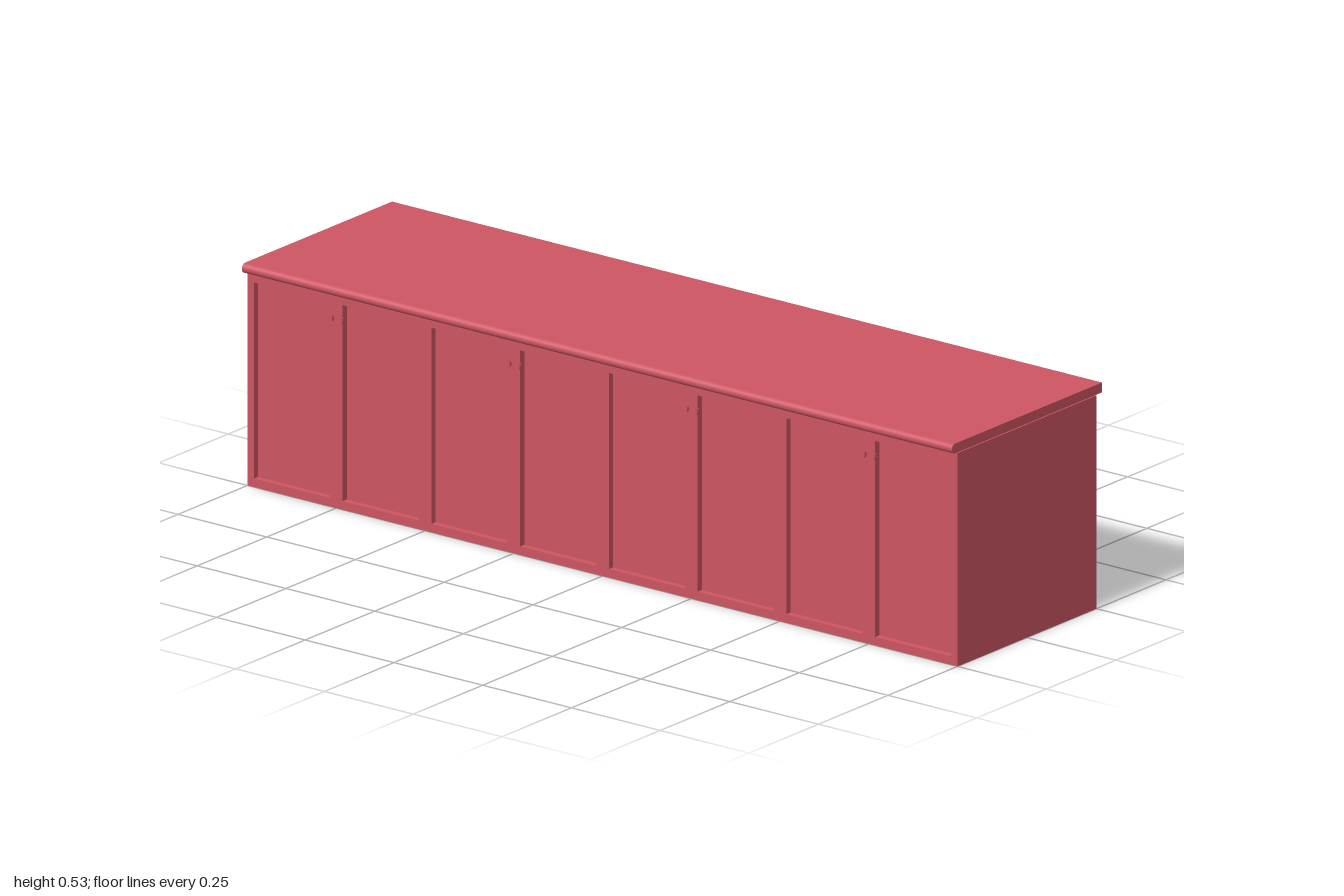
import * as THREE from 'three';

export function createModel() {
  const group = new THREE.Group();
  const material = new THREE.MeshStandardMaterial({ color: 0xcc5562, flatShading: true });
  const add = (name, geometry, x = 0, y = 0, z = 0) => {
    const mesh = new THREE.Mesh(geometry, material);
    mesh.name = name;
    mesh.position.set(x, y, z);
    group.add(mesh);
    return mesh;
  };

  const doors = 8, pitch = 2 / doors, recess = 0.015, stile = 0.018;

  // Cabinet body behind the recessed door panels
  add('cabinetBody', new THREE.BoxGeometry(0.5 - recess, 0.5, 2), recess / 2, 0.25, 0);

  // Door fronts: one face with an opening for each panel
  const face = new THREE.Shape([[-1, 0], [1, 0], [1, 0.5], [-1, 0.5]].map(p => new THREE.Vector2(...p)));
  for (let i = 0; i < doors; i++) {
    const a = -1 + i * pitch + stile, b = -1 + (i + 1) * pitch - stile;
    face.holes.push(new THREE.Path(
      [[a, 0.02], [a, 0.48], [b, 0.48], [b, 0.02]].map(p => new THREE.Vector2(...p))));
  }
  const frames = new THREE.ExtrudeGeometry(face, { depth: recess, bevelEnabled: false });
  frames.rotateY(-Math.PI / 2);
  add('doorFrames', frames, -0.25 + recess);

  // Worktop: square at the rear edge, rounded over the doors
  const r = 0.0115, top = new THREE.Shape();
  top.moveTo(0.27, 0.502);
  top.lineTo(0.27, 0.525);
  top.lineTo(-0.27 + r, 0.525);
  top.absarc(-0.27 + r, 0.5135, r, Math.PI / 2, Math.PI * 1.5, false);
  top.lineTo(0.27, 0.502);
  const slab = new THREE.ExtrudeGeometry(top, { depth: 2, bevelEnabled: false, curveSegments: 10 });
  add('worktop', slab, 0, -0.001, -1).scale.y = 1.002;

  // Knobs in pairs where two doors meet
  const knob = new THREE.CylinderGeometry(0.011, 0.008, 0.012, 10).rotateZ(Math.PI / 2);
  for (let i = 0; i < doors; i += 2) {
    for (const side of [-1, 1]) add('knob', knob, -0.254, 0.444, -1 + (i + 1) * pitch + side * 0.014);
  }
  return group;
}
